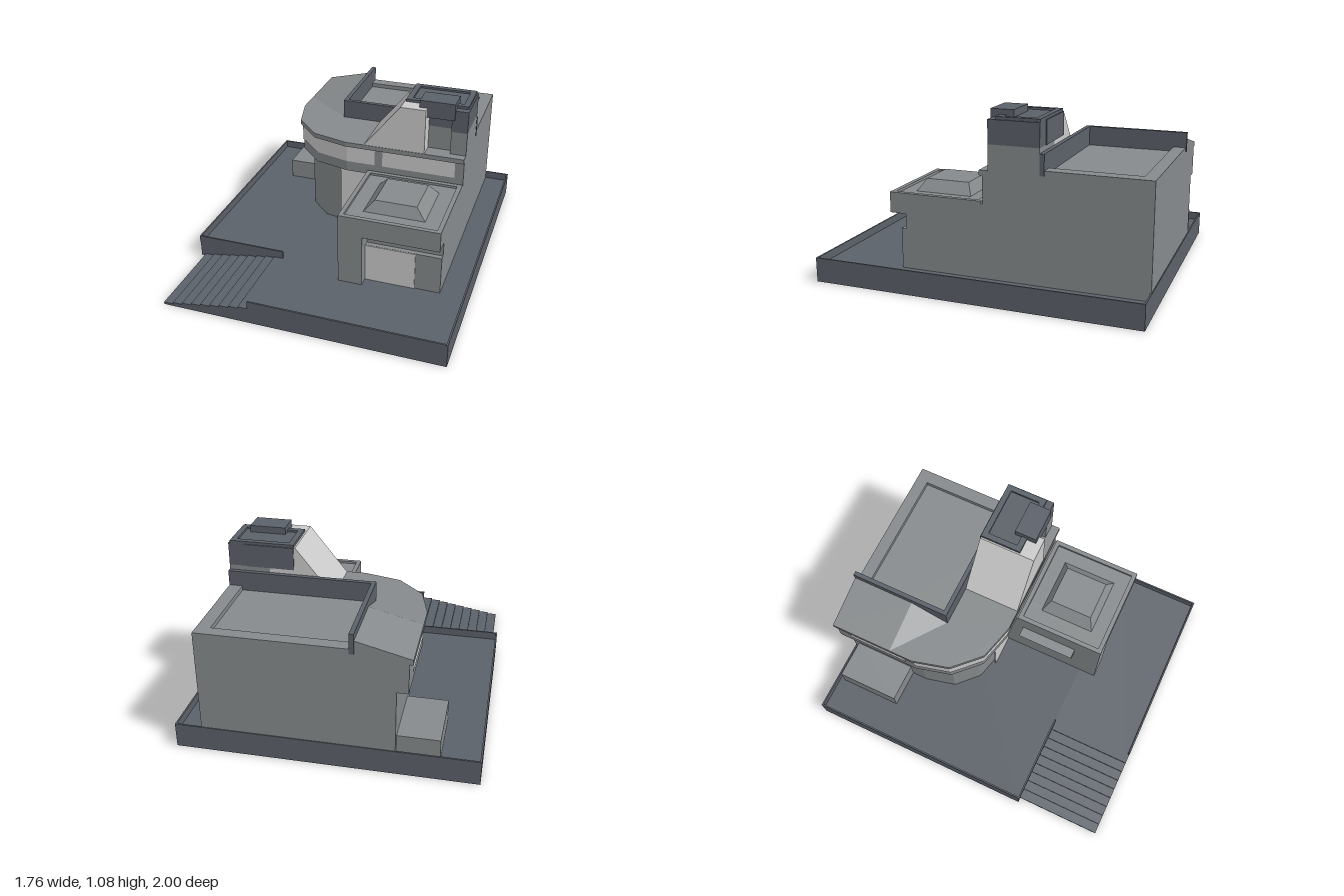
import * as THREE from 'three';

export function createModel() {
  const model = new THREE.Group();
  const mat = (name, color) => Object.assign(new THREE.MeshStandardMaterial({ color }), { name });
  const slate = mat('slate', 0x5b6169);
  const concrete = mat('concrete', 0x868a8c);
  const pale = mat('pale', 0xcacaca);
  const paleOpen = pale;
  paleOpen.side = THREE.DoubleSide;

  const add = (name, geometry, material) => {
    const mesh = new THREE.Mesh(geometry, material);
    mesh.name = name;
    model.add(mesh);
    return mesh;
  };
  // Box given by its limits on each axis
  const box = (name, m, x0, x1, y0, y1, z0, z1) => {
    const g = new THREE.BoxGeometry(x1 - x0, y1 - y0, z1 - z0);
    g.translate((x0 + x1) / 2, (y0 + y1) / 2, (z0 + z1) / 2);
    return add(name, g, m);
  };
  // Rectangular border of four bars
  const frame = (name, m, x0, x1, y0, y1, z0, z1, w) => {
    box(name, m, x0, x1, y0, y1, z0, z0 + w);
    box(name, m, x0, x1, y0, y1, z1 - w, z1);
    box(name, m, x0, x0 + w, y0, y1, z0 + w, z1 - w);
    box(name, m, x1 - w, x1, y0, y1, z0 + w, z1 - w);
  };
  // Front profile extruded along z
  const profile = (name, m, pts, z0, z1) => {
    const g = new THREE.ExtrudeGeometry(new THREE.Shape(pts.map(p => new THREE.Vector2(...p))),
      { depth: z1 - z0, bevelEnabled: false });
    g.translate(0, 0, z0);
    return add(name, g, m);
  };
  // Floor plan with the faceted round corner, inset by d
  const BACK = -0.995;
  const plan = d => [
    [0.72, BACK], [0.72, -d], [-0.04 + 0.1 * d, -d], [-0.27 + 0.55 * d, -0.06 - 0.85 * d],
    [-0.43 + 0.85 * d, -0.22 - 0.5 * d], [-0.49 + d, -0.45 - 0.1 * d], [-0.49 + d, BACK]];
  const storey = (name, d, y0, y1) => {
    const shape = new THREE.Shape(plan(d).map(([x, z]) => new THREE.Vector2(x, -z)));
    const g = new THREE.ExtrudeGeometry(shape, { depth: y1 - y0, bevelEnabled: false });
    g.rotateX(-Math.PI / 2).translate(0, y0, 0);
    return add(name, g, concrete);
  };

  // Plinth with a thin raised rim
  box('plinth', slate, -0.88, 0.88, 0, 0.1, -1, 0.46);
  box('plinthFront', slate, -0.36, 0.88, 0, 0.1, 0.46, 1);
  box('rimLeft', slate, 0.87, 0.88, 0.1, 0.15, -1, 1);
  box('rimRight', slate, -0.88, -0.87, 0.1, 0.15, -1, 0.46);
  box('rimBack', slate, -0.87, 0.87, 0.1, 0.15, -1, -0.99);
  box('rimFront', slate, -0.3, 0.87, 0.1, 0.15, 0.99, 1);
  box('stairWall', slate, -0.88, -0.3, 0.1, 0.15, 0.455, 0.465);

  // Stairs
  const steps = 8, run = 0.49 / steps;
  for (let i = 0; i < steps; i++) {
    const x = -0.85 + i * run;
    box('step', slate, x, x + run, 0, 0.015 + i * 0.0107, 0.46, 1);
  }

  // House body, overhanging storey and roof slab
  storey('lowerBody', 0.085, 0.1, 0.53);
  storey('upperBand', 0.02, 0.53, 0.71);
  storey('roofSlab', 0, 0.71, 0.74);
  box('sideBox', concrete, -0.65, -0.4, 0.1, 0.23, -0.96, -0.56);
  box('entrancePanel', pale, -0.1, 0.105, 0.1, 0.53, -0.085, -0.077);

  // Window strips that follow the plan
  const p = plan(0.014);
  const strip = (name, pts) => {
    const pos = [], index = [];
    pts.forEach(([x, z], i) => {
      pos.push(x, 0.6, z, x, 0.705, z);
      if (i) index.push(2 * i - 2, 2 * i - 1, 2 * i, 2 * i, 2 * i - 1, 2 * i + 1);
    });
    let g = new THREE.BufferGeometry();
    g.setAttribute('position', new THREE.Float32BufferAttribute(pos, 3));
    g.setIndex(index.reverse());
    g = g.toNonIndexed();
    g.computeVertexNormals();
    add(name, g, paleOpen);
  };
  strip('curvedWindow', [[0.15, p[1][1]], p[2], p[3], p[4], p[5]].reverse());
  strip('frontWindow', [[0.2, p[1][1]], [0.665, p[1][1]]]);
  strip('sideWindow', [[p[6][0], -0.9], [p[6][0], -0.51]]);

  // Sloped part of the roof
  const A = [-0.49, 0.74, BACK], B = [-0.17, 0.82, BACK], C = [-0.17, 0.82, -0.6],
    D = [-0.49, 0.74, -0.6], E = [-0.17, 0.74, -0.36], F = [-0.17, 0.74, BACK];
  const slope = new THREE.BufferGeometry();
  slope.setAttribute('position', new THREE.Float32BufferAttribute(
    [A, D, C, A, C, B, D, E, C, A, B, F].flat(), 3));
  slope.computeVertexNormals();
  add('roofSlope', slope, concrete);

  // Back terrace and its dark parapet
  box('terraceRimSide', concrete, 0.64, 0.72, 0.74, 0.767, BACK, -0.38);
  box('terraceRimBack', concrete, -0.15, 0.64, 0.74, 0.767, BACK, -0.92);
  box('parapetSide', slate, -0.175, -0.148, 0.74, 0.86, -1, -0.36);
  box('parapetFront', slate, -0.148, 0.722, 0.737, 0.86, -0.387, -0.36);

  // Sloped pale wedge and roof tower
  profile('wedge', pale, [[0.08, 0.74], [0.47, 0.74], [0.47, 1.03], [0.31, 1.03]], -0.36, -0.003);
  for (const [m, y0, y1] of [[concrete, 0.74, 0.89], [slate, 0.89, 1.03]]) {
    box('towerCore', m, 0.47, 0.62, y0, y1, -0.36, -0.1);
    box('towerSide', m, 0.62, 0.72, y0, y1, -0.36, -0.055);
  }
  box('towerBack', slate, 0.32, 0.62, 0.89, 1.03, -0.366, -0.36);
  box('towerRoof', slate, 0.32, 0.71, 1.03, 1.035, -0.36, -0.1);
  frame('towerRoofRim', slate, 0.32, 0.71, 1.035, 1.047, -0.36, -0.1, 0.035);
  box('towerCap', slate, 0.42, 0.64, 0.97, 1.077, -0.18, -0.04);

  // Garage with a stepped front recess
  box('garagePillar', concrete, 0.105, 0.255, 0.1, 0.545, -0.09, 0.57);
  box('garageWall', concrete, 0.255, 0.72, 0.1, 0.345, -0.09, 0.5);
  box('garageGroove', concrete, 0.255, 0.72, 0.345, 0.435, -0.09, 0.47);
  box('garageBeam', concrete, 0.255, 0.72, 0.435, 0.545, -0.09, 0.57);
  box('garageDoor', pale, 0.256, 0.563, 0.1, 0.344, 0.5, 0.506);
  frame('garageRoofRim', concrete, 0.105, 0.72, 0.545, 0.56, -0.01, 0.57, 0.028);
  profile('garageLedge', concrete,
    [[0.04, 0.435], [0.07, 0.345], [0.105, 0.345], [0.105, 0.435]], 0.03, 0.4);

  // Skylight: a box with its top drawn in
  const sky = new THREE.BoxGeometry(0.375, 0.067, 0.35);
  const v = sky.attributes.position;
  for (let i = 0; i < v.count; i++) {
    if (v.getY(i) > 0) v.setXYZ(i, v.getX(i) * 0.68, v.getY(i), v.getZ(i) * 0.78);
  }
  sky.computeVertexNormals();
  sky.translate(0.4125, 0.5785, 0.281);
  add('skylight', sky, concrete);

  return model;
}
